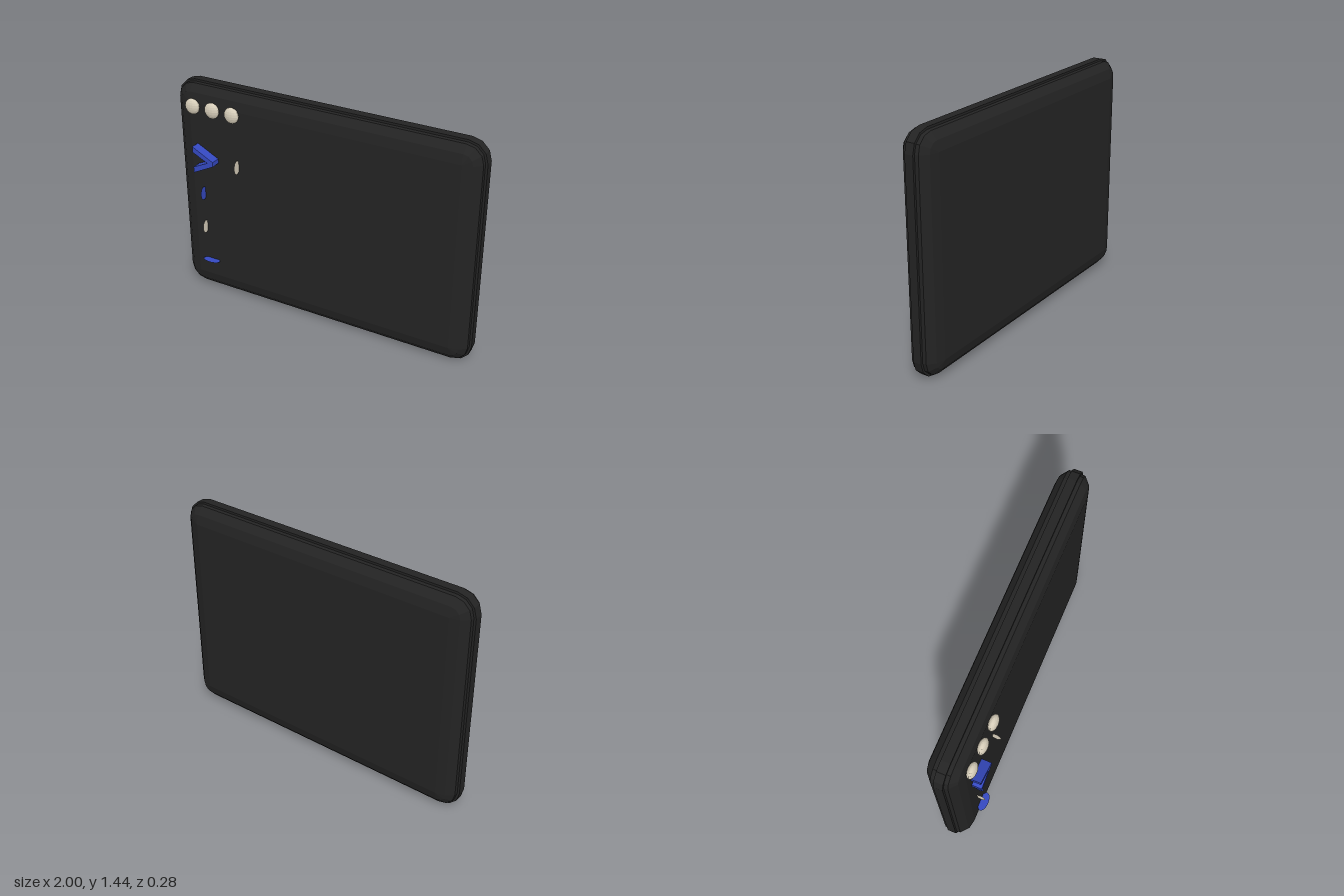
import * as THREE from 'three';

const material = (name, color, extra = {}) =>
  Object.assign(new THREE.MeshStandardMaterial({ color, flatShading: true, ...extra }), { name });

// Rounded slab skinned from rounded-rectangle loops, each [z, inset from the rim]
function slabGeometry(halfW, halfH, radius, levels, steps = 3) {
  const pos = [], index = [];
  const ring = 4 * (steps + 1);
  for (const [z, inset] of levels) {
    for (let c = 0; c < 4; c++) {
      const sx = c === 0 || c === 3 ? 1 : -1, sy = c < 2 ? 1 : -1;
      for (let i = 0; i <= steps; i++) {
        const a = (c + i / steps) * Math.PI / 2, r = radius - inset;
        pos.push(sx * (halfW - radius) + r * Math.cos(a), sy * (halfH - radius) + r * Math.sin(a), z);
      }
    }
  }
  for (let l = 0; l < levels.length - 1; l++) {
    for (let i = 0; i < ring; i++) {
      const j = (i + 1) % ring, a = l * ring, b = a + ring;
      index.push(a + i, a + j, b + j, a + i, b + j, b + i);
    }
  }
  // Back and front caps
  const last = (levels.length - 1) * ring;
  for (let i = 1; i < ring - 1; i++) {
    index.push(0, i + 1, i, last, last + i, last + i + 1);
  }
  const g = new THREE.BufferGeometry();
  g.setAttribute('position', new THREE.Float32BufferAttribute(pos, 3));
  g.setIndex(index);
  const flat = g.toNonIndexed();
  flat.computeVertexNormals();
  return flat;
}

export function createModel() {
  const model = new THREE.Group();
  model.name = 'terminalWindow';
  const black = material('panel black', 0x232323);
  const cream = material('cream', 0xd6cdb9, { side: THREE.DoubleSide });
  const blue = material('prompt blue', 0x3549c0, { side: THREE.DoubleSide });

  const add = (name, geometry, mat, x, y, z) => {
    const mesh = new THREE.Mesh(geometry, mat);
    mesh.name = name;
    mesh.position.set(x, y, z);
    model.add(mesh);
    return mesh;
  };

  // Window panel with a narrow lip around the rim, turned very slightly
  const half = [[0.027, 0], [0.027, 0.014], [0.05, 0.016], [0.088, 0.06], [0.102, 0.12]];
  const levels = [...half.map(([z, i]) => [-z, i]).reverse(), ...half];
  add('panel', slabGeometry(1, 0.72, 0.12, levels), black, 0, 0.72, -0.03).rotation.y = 0.007;

  // Three window buttons
  const ball = new THREE.SphereGeometry(0.05, 16, 10);
  [-0.84, -0.7, -0.56].forEach((x, i) => {
    add('button' + (i + 1), ball, cream, x, 1.305, 0.1).scale.z = 0.54;
  });

  // Prompt chevron
  const chevron = new THREE.Shape([
    [-0.835, 1.053], [-0.835, 1.015], [-0.73, 0.965], [-0.835, 0.915],
    [-0.835, 0.877], [-0.69, 0.95], [-0.69, 0.98],
  ].map(([x, y]) => new THREE.Vector2(x, y)));
  add('promptChevron',
    new THREE.ExtrudeGeometry(chevron, { depth: 0.07, bevelEnabled: false }), blue, 0, 0, 0.067);

  // Thin oval plates standing edge-on to the front
  const disc = new THREE.CircleGeometry(1, 20);
  [['cursorPlate', cream, -0.54, 0.965], ['bluePlate', blue, -0.8, 0.722], ['creamPlate', cream, -0.8, 0.482]]
    .forEach(([name, mat, x, y]) => {
      const plate = add(name, disc, mat, x, y, 0.098);
      plate.rotation.y = Math.PI / 2;
      plate.scale.set(0.03, 0.045, 1);
    });

  // Lowest oval plate, lying flat
  const low = add('lowPlate', disc, blue, -0.77, 0.24, 0.098);
  low.rotation.x = -Math.PI / 2;
  low.scale.set(0.06, 0.03, 1);

  return model;
}
